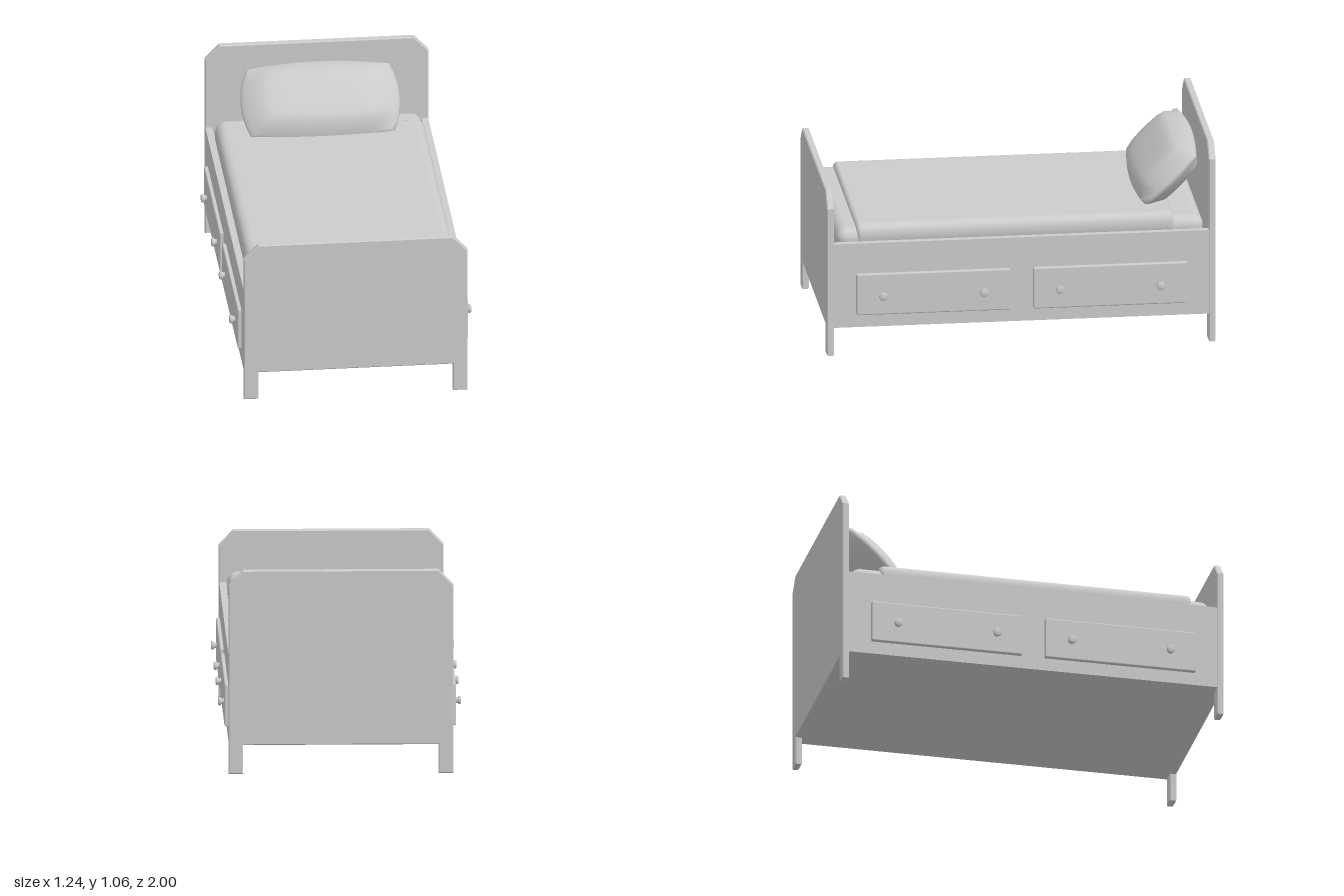
import * as THREE from 'three';
import { mergeVertices } from 'three/addons/utils/BufferGeometryUtils.js';
import { RoundedBoxGeometry } from 'three/addons/geometries/RoundedBoxGeometry.js';

const grey = new THREE.MeshStandardMaterial({ color: 0xcccccc });

function add(parent, name, geometry, x = 0, y = 0, z = 0) {
  const mesh = new THREE.Mesh(geometry, grey);
  mesh.name = name;
  mesh.position.set(x, y, z);
  parent.add(mesh);
  return mesh;
}

// End board with clipped top corners and two short legs, bevelled edges
function boardGeometry(height) {
  const w = 0.575, leg = 0.5, gap = 0.15, clip = 0.078, t = 0.035, b = 0.005;
  const shape = new THREE.Shape([
    [-w, 0], [-leg, 0], [-leg, gap], [leg, gap], [leg, 0], [w, 0],
    [w, height - clip], [leg, height], [-leg, height], [-w, height - clip],
  ].map(([x, y]) => new THREE.Vector2(x, y)));
  const geo = new THREE.ExtrudeGeometry(shape, {
    depth: t - 2 * b, bevelThickness: b, bevelSize: b, bevelOffset: -b, bevelSegments: 1,
  });
  return geo.translate(0, 0, b - t / 2);
}

// Blanket: flat slab with rounded long edges, drawn over the mattress
function blanketGeometry() {
  const w = 0.535, bottom = 0.52, top = 0.685, r = 0.06;
  const shape = new THREE.Shape();
  shape.moveTo(-w, bottom);
  shape.lineTo(w, bottom);
  shape.lineTo(w, top - r);
  shape.quadraticCurveTo(w, top, w - r, top);
  shape.lineTo(-w + r, top);
  shape.quadraticCurveTo(-w, top, -w, top - r);
  shape.closePath();
  const b = 0.022;
  const geo = new THREE.ExtrudeGeometry(shape, {
    depth: 1.59, bevelThickness: b, bevelSize: b, bevelOffset: -b, bevelSegments: 2, curveSegments: 8,
  });
  geo.translate(0, 0, -0.77);
  geo.deleteAttribute('uv');
  geo.deleteAttribute('normal');
  const smooth = mergeVertices(geo, 1e-4);
  smooth.computeVertexNormals();
  return smooth;
}

// Pillow: a box grid swollen in the middle and thinned toward the rim
function pillowGeometry() {
  const geo = new THREE.BoxGeometry(2, 2, 2, 12, 8, 4);
  const p = geo.attributes.position;
  for (let i = 0; i < p.count; i++) {
    const u = p.getX(i), v = p.getY(i), w = p.getZ(i);
    const swell = 0.25 + 0.75 * Math.sqrt((1 - u ** 4) * (1 - v ** 4));
    const rim = 1 - 0.05 * w * w;
    p.setXYZ(i,
      0.41 * u * (1 - 0.1 * v * v) * rim,
      0.212 * v * (1 - 0.14 * u * u) * rim,
      0.095 * w * swell);
  }
  geo.deleteAttribute('uv');
  geo.deleteAttribute('normal');
  const smooth = mergeVertices(geo, 1e-4);
  smooth.computeVertexNormals();
  return smooth;
}

// Round knob pointing along +x
function knobGeometry() {
  const profile = [
    [0.019, 0], [0.015, 0.006], [0.015, 0.014], [0.022, 0.017],
    [0.022, 0.026], [0.018, 0.031], [0, 0.032],
  ].map(([r, y]) => new THREE.Vector2(r, y));
  return new THREE.LatheGeometry(profile, 16).rotateZ(-Math.PI / 2);
}

export function createModel() {
  const bed = new THREE.Group();
  bed.name = 'bed';

  add(bed, 'headboard', boardGeometry(1.06), 0, 0, -0.9825);
  add(bed, 'footboard', boardGeometry(0.87), 0, 0, 0.9825);
  add(bed, 'bottomPanel', new THREE.BoxGeometry(1.09, 0.02, 1.94), 0, 0.16, 0);

  // Rail with two drawers; the second side is turned half a circle
  const knob = knobGeometry();
  const drawer = new RoundedBoxGeometry(0.03, 0.22, 0.79, 2, 0.007);
  for (const [side, turn] of [['left', 0], ['right', Math.PI]]) {
    const rail = new THREE.Group();
    rail.name = side + 'Side';
    rail.rotation.y = turn;
    add(rail, 'rail', new THREE.BoxGeometry(0.035, 0.45, 1.94), 0.555, 0.375, 0);
    for (const s of [-1, 1]) {
      add(rail, 'drawer', drawer, 0.577, 0.328, s * 0.455);
      for (const z of [0.196, 0.714]) add(rail, 'knob', knob, 0.59, 0.322, s * z);
    }
    bed.add(rail);
  }

  add(bed, 'mattress', new RoundedBoxGeometry(1.06, 0.26, 1.89, 5, 0.055), 0, 0.53, 0);
  add(bed, 'blanket', blanketGeometry());
  add(bed, 'pillow', pillowGeometry(), 0, 0.81, -0.79).rotation.x = -Math.PI / 4;

  return bed;
}
